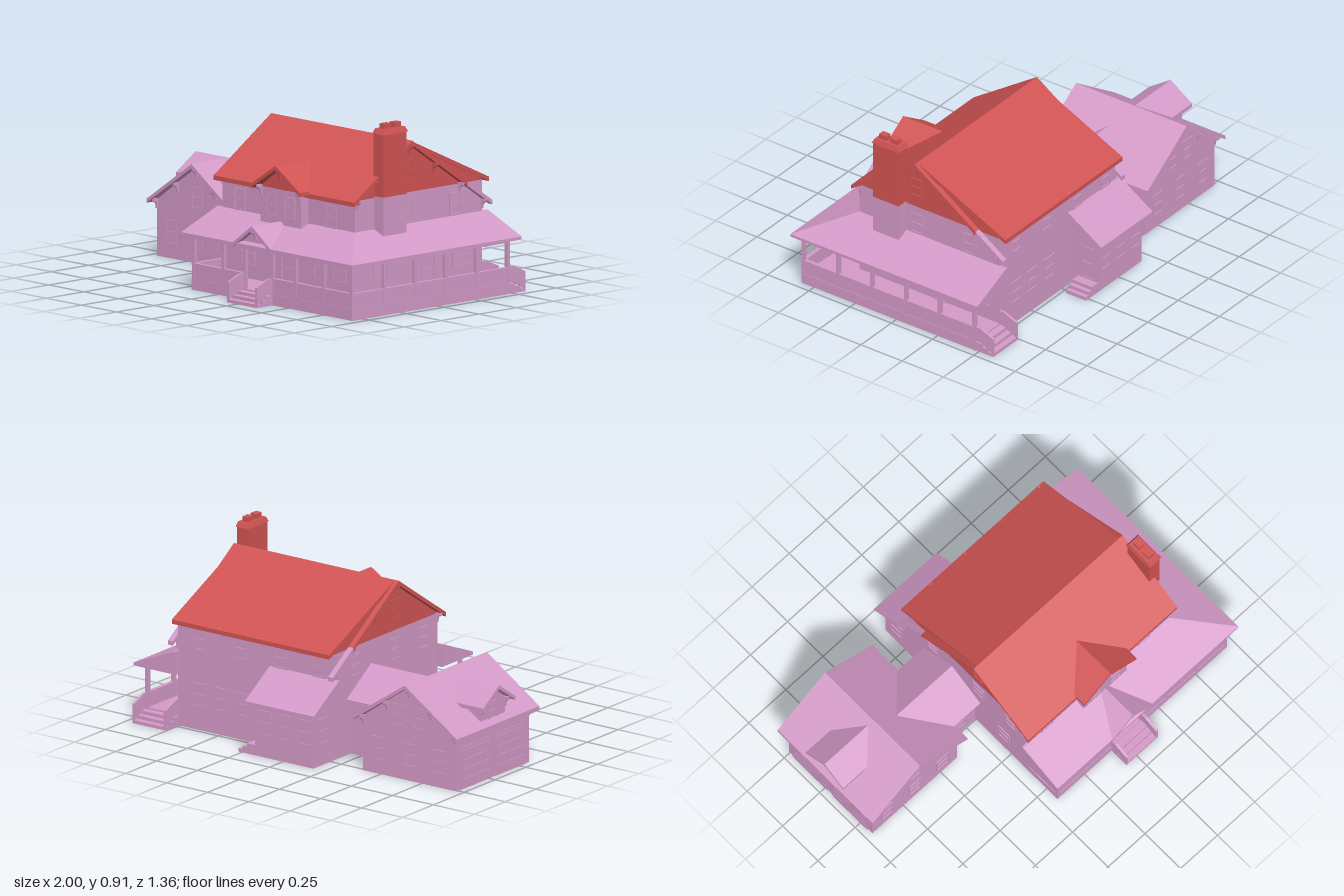
import * as THREE from 'three';

export function createModel() {
  const root = new THREE.Group();
  const plum = new THREE.MeshStandardMaterial({ color: 0xd49ac8 });
  const red = new THREE.MeshStandardMaterial({ color: 0xd25454 });
  const FRONT = 0, RIGHT = Math.PI / 2, BACK = Math.PI, LEFT = -Math.PI / 2;

  function add(name, geo, mat = plum) {
    const m = new THREE.Mesh(geo, mat);
    m.name = name;
    root.add(m);
    return m;
  }
  function box(name, x0, x1, y0, y1, z0, z1, mat) {
    const g = new THREE.BoxGeometry(x1 - x0, y1 - y0, z1 - z0);
    g.translate((x0 + x1) / 2, (y0 + y1) / 2, (z0 + z1) / 2);
    return add(name, g, mat);
  }
  // Box whose top corners are moved by a rule
  function taper(name, b, rule, mat) {
    const g = box(name, ...b, mat).geometry, p = g.attributes.position;
    for (let i = 0; i < p.count; i++)
      if (p.getY(i) > (b[2] + b[3]) / 2) {
        const [x, z] = rule(p.getX(i), p.getZ(i));
        p.setX(i, x); p.setZ(i, z);
      }
    g.computeVertexNormals();
  }
  // Polygon (u, y) swept along x (u = z) or along z (u = x)
  function prism(name, axis, pts, a0, a1, mat) {
    const s = new THREE.Shape(pts.map(([u, y]) => new THREE.Vector2(axis === 'x' ? -u : u, y)));
    const g = new THREE.ExtrudeGeometry(s, { depth: a1 - a0, bevelEnabled: false });
    g.translate(0, 0, a0);
    if (axis === 'x') g.rotateY(Math.PI / 2);
    return add(name, g, mat);
  }
  // Two-pitch roof slab
  function gableRoof(name, axis, c, half, ridge, eave, a0, a1, mat, t = 0.02) {
    prism(name, axis, [[c - half, eave], [c, ridge], [c + half, eave],
      [c + half, eave - t], [c, ridge - t], [c - half, eave - t]], a0, a1, mat);
  }
  // Sash window frame with two panes, standing on its sill
  function win(x, y, z, dir, w = 0.08, h = 0.11, mat) {
    const r = (x0, y0, x1, y1, P) => new P().moveTo(x0, y0).lineTo(x1, y0).lineTo(x1, y1).lineTo(x0, y1).closePath();
    const s = r(-w / 2, 0, w / 2, h, THREE.Shape), f = 0.008;
    s.holes.push(r(-w / 2 + f, f, w / 2 - f, h / 2 - f / 2, THREE.Path), r(-w / 2 + f, h / 2 + f / 2, w / 2 - f, h - f, THREE.Path));
    const m = add('window', new THREE.ExtrudeGeometry(s, { depth: 0.005, bevelEnabled: false }), mat);
    m.position.set(x, y, z);
    m.rotation.y = dir;
  }
  // Eave bracket; y is its top
  function bracket(x, y, z, dir, mat) {
    const s = new THREE.Shape([[0, 0], [0.032, 0], [0.032, -0.012], [0.012, -0.025], [0.008, -0.05], [0, -0.05]].map(p => new THREE.Vector2(...p)));
    const g = new THREE.ExtrudeGeometry(s, { depth: 0.012, bevelEnabled: false }).translate(0, 0, -0.006).rotateY(-Math.PI / 2);
    const m = add('bracket', g, mat);
    m.position.set(x, y, z);
    m.rotation.y = dir;
  }

  // Main house: lower walls, then red upper walls under the roof
  box('mainWalls', -0.185, 0.76, 0, 0.54, -0.48, 0.37);
  prism('upperWalls', 'x', [[0.37, 0.54], [0.015, 0.785], [-0.48, 0.555], [-0.48, 0.54]], -0.185, 0.76, red);
  const steep = z => 0.8 - Math.abs(z - 0.015) * 0.675, shed = z => 0.8 + (z - 0.015) * 0.467;
  const slab = (name, f, z0, z1, x0, x1, mat) =>
    prism(name, 'x', [[z0, f(z0)], [z1, f(z1)], [z1, f(z1) - 0.022], [z0, f(z0) - 0.022]], x0, x1, mat);
  slab('frontRoof', steep, 0.015, 0.4, -0.215, 0.79, red);
  slab('rearShedRoof', shed, -0.52, 0.015, -0.192, 0.767, red);
  for (const [x0, x1] of [[-0.215, -0.185], [0.76, 0.79]]) {
    slab('rakeRoof', steep, -0.355, 0.015, x0, x1, red);
    slab('rakeRoofEnd', steep, -0.52, -0.355, x0, x1);
  }
  for (const [x, d] of [[0.76, RIGHT], [-0.185, LEFT]]) {
    for (const z of [0.36, 0.015, -0.15, -0.325, -0.475])
      bracket(x, steep(z) - 0.022, z, d, z < 0.1 && z > -0.2 ? red : plum);
    win(x, 0.6, 0.02, d, 0.08, 0.1, red);
    win(x, 0.39, 0.02, d);
    win(x, 0.39, -0.3, d);
  }
  win(-0.185, 0.39, 0.25, LEFT);
  win(-0.185, 0.12, 0.2, LEFT);
  for (const x of [-0.06, 0.59]) win(x, 0.385, 0.37, FRONT);
  for (const x of [-0.1, 0.13, 0.38, 0.63]) {
    win(x, 0.41, -0.48, BACK);
    bracket(x + 0.1, 0.555, -0.48, BACK);
  }
  for (const x of [0.36, 0.5, 0.63]) win(x, 0.12, -0.48, BACK, 0.09, 0.12);

  // Front bay with gable
  box('bayWalls', 0.14, 0.43, 0.34, 0.54, 0.3, 0.42);
  prism('bayGable', 'z', [[0.14, 0.54], [0.43, 0.54], [0.285, 0.645]], 0.3, 0.42, red);
  gableRoof('bayRoof', 'z', 0.285, 0.175, 0.662, 0.55, 0.22, 0.457, red);
  for (const x of [0.22, 0.35]) win(x, 0.4, 0.42, FRONT);
  bracket(0.285, 0.642, 0.42, FRONT, red);
  for (const x of [0.148, 0.422]) bracket(x, 0.55, 0.42, FRONT);

  // Chimney
  box('chimneyBase', 0.755, 0.825, 0.3, 0.55, 0.085, 0.24);
  box('chimneyStack', 0.755, 0.825, 0.55, 0.86, 0.085, 0.24, red);
  taper('chimneyCap', [0.75, 0.83, 0.86, 0.885, 0.08, 0.245],
    (x, z) => [x + (x > 0.79 ? -0.008 : 0.008), z + (z > 0.16 ? -0.012 : 0.012)], red);
  for (const z of [0.128, 0.195]) box('flue', 0.773, 0.807, 0.88, 0.91, z - 0.022, z + 0.022, red);

  // Wraparound porch: floor, roof with one hip, eave board and beams
  box('porchFloorFront', -0.185, 0.96, 0, 0.055, 0.36, 0.575);
  box('porchFloorSide', 0.75, 0.96, 0, 0.055, -0.48, 0.37);
  const hip = (x, z) => [x > 0.9 ? 0.76 : x, z > 0.5 ? 0.37 : z];
  taper('porchRoofFront', [-0.22, 1, 0.285, 0.385, 0.36, 0.612], hip);
  taper('porchRoofSide', [0.75, 1, 0.285, 0.385, -0.52, 0.612], hip);
  box('porchEaveFront', -0.22, 1, 0.27, 0.285, 0.36, 0.612);
  box('porchEaveSide', 0.75, 1, 0.27, 0.285, -0.52, 0.612);
  box('porchBeamFront', -0.185, 0.96, 0.255, 0.27, 0.557, 0.575);
  box('porchBeamSide', 0.942, 0.96, 0.255, 0.27, -0.48, 0.575);
  prism('entryGable', 'z', [[0.185, 0.27], [0.385, 0.27], [0.385, 0.295], [0.285, 0.365], [0.185, 0.295]], 0.37, 0.585);
  gableRoof('entryRoof', 'z', 0.285, 0.135, 0.383, 0.285, 0.36, 0.615);
  bracket(0.285, 0.363, 0.585, FRONT);

  // Porch posts and solid railings
  const post = (x, z) => box('porchPost', x - 0.009, x + 0.009, 0.055, 0.27, z - 0.009, z + 0.009);
  for (const x of [-0.175, 0.035, 0.19, 0.385, 0.55, 0.75, 0.951]) post(x, 0.566);
  for (const z of [0.355, 0.15, -0.055, -0.26, -0.47]) post(0.951, z);
  const rail = (x0, x1, z0, z1) => {
    box('railing', x0, x1, 0.055, 0.125, z0, z1);
    box('railingCap', x0 - 0.004, x1 + 0.004, 0.125, 0.133, z0 - 0.004, z1 + 0.004);
  };
  rail(-0.18, 0.19, 0.56, 0.572);
  rail(0.385, 0.955, 0.56, 0.572);
  rail(0.945, 0.957, -0.475, 0.572);
  rail(-0.181, -0.169, 0.37, 0.572);

  // Porch wall openings
  for (const x of [0.0, 0.52, 0.65]) win(x, 0.12, 0.37, FRONT, 0.1, 0.12);
  win(0.285, 0.055, 0.37, FRONT, 0.1, 0.18);
  win(0.76, 0.13, -0.36, RIGHT, 0.16, 0.105);
  win(0.76, 0.13, 0.2, RIGHT, 0.1, 0.12);
  win(0.76, 0.055, -0.12, RIGHT, 0.09, 0.18);

  // Porch steps with sloping side walls; s = direction of descent along z
  function steps(x0, x1, z, s) {
    for (let i = 0; i < 3; i++) {
      const e = z + s * (0.042 + i * 0.033);
      box('step', x0, x1, 0, 0.048 - i * 0.016, Math.min(z, e), Math.max(z, e));
    }
    for (const x of [x0, x1 - 0.012])
      prism('stepSideWall', 'x', [[z, 0.133], [z + s * 0.03, 0.133], [z + s * 0.108, 0.1], [z + s * 0.108, 0.015], [z + s * 0.03, 0.055], [z, 0.055]], x, x + 0.012);
  }
  steps(0.18, 0.392, 0.572, 1);
  steps(0.755, 0.957, -0.478, -1);

  // Rear extension with lean-to roof and side steps
  prism('rearExtension', 'x', [[-0.47, 0], [-0.47, 0.395], [-0.64, 0.285], [-0.64, 0]], -0.185, 0.17);
  prism('rearExtensionRoof', 'x', [[-0.475, 0.415], [-0.682, 0.283], [-0.682, 0.265], [-0.475, 0.397]], -0.22, 0.2);
  for (const x of [-0.13, -0.01, 0.11]) win(x, 0.11, -0.64, BACK, 0.085, 0.13);
  win(0.17, 0.055, -0.58, RIGHT, 0.08, 0.18);
  win(-0.185, 0.11, -0.56, LEFT, 0.08, 0.13);
  for (let i = 0; i < 3; i++) box('sideStep', 0.16, 0.22 + i * 0.025, 0, 0.052 - i * 0.017, -0.64, -0.52);

  // Garage
  prism('garageWalls', 'z', [[-0.96, 0], [-0.39, 0], [-0.39, 0.28], [-0.675, 0.48], [-0.96, 0.28]], -0.51, 0.08);
  gableRoof('garageRoof', 'z', -0.675, 0.32, 0.497, 0.282, -0.552, 0.118);
  for (const [z, d] of [[0.08, FRONT], [-0.51, BACK]]) {
    for (const u of [-0.28, -0.135, 0, 0.135, 0.28]) bracket(-0.675 + u, 0.475 - Math.abs(u) * 0.67, z, d);
    for (const x of [-0.86, -0.675, -0.49]) win(x, 0.07, z, d, 0.08, 0.12);
  }
  win(-0.675, 0.27, 0.08, FRONT);
  for (const x of [-0.735, -0.615]) win(x, 0.27, -0.51, BACK, 0.075);

  // Garage doors, with raised panels
  for (const z of [-0.355, -0.075]) {
    box('garageDoorFrame', -0.964, -0.95, 0, 0.215, z - 0.125, z + 0.125);
    for (let i = 0; i < 4; i++) box('garageDoorPanel', -0.968, -0.95, 0.008 + i * 0.049, 0.052 + i * 0.049, z - 0.11, z + 0.11);
  }

  // Garage dormer
  prism('dormerWalls', 'x', [[-0.315, 0.25], [-0.315, 0.395], [-0.215, 0.46], [-0.115, 0.395], [-0.115, 0.25]], -0.96, -0.72);
  gableRoof('dormerRoof', 'x', -0.215, 0.13, 0.475, 0.388, -1, -0.7);
  win(-0.96, 0.29, -0.215, LEFT, 0.08, 0.1);
  for (const z of [-0.308, -0.215, -0.122]) bracket(-0.96, 0.452 - Math.abs(z + 0.215) * 0.67, z, LEFT);

  // Connector between garage and house
  prism('connectorWalls', 'x', [[-0.335, 0], [-0.335, 0.29], [-0.17, 0.405], [-0.005, 0.29], [-0.005, 0]], -0.4, -0.18);
  gableRoof('connectorRoof', 'x', -0.17, 0.2, 0.42, 0.285, -0.555, -0.18);
  win(-0.29, 0.07, -0.005, FRONT, 0.08, 0.13);
  win(-0.29, 0.03, -0.335, BACK, 0.09, 0.19);

  return root;
}
